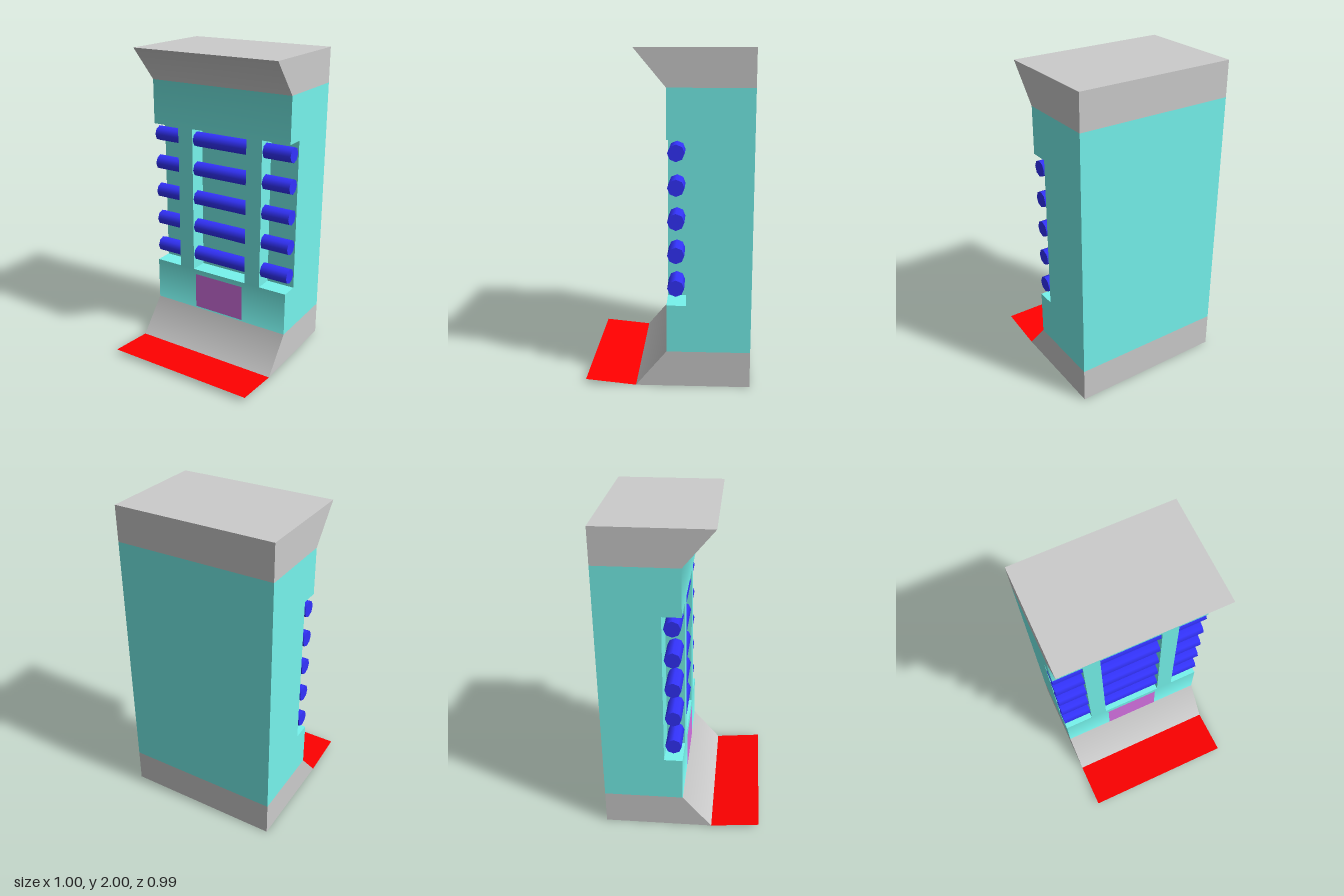
import * as THREE from 'three';

const BACK = -0.495, FACE = 0.005, LIP = 0.19, NICHE = -0.11;
const LOW = 0.22, HIGH = 1.78, SILL = 0.51, LINTEL = 1.49;

const paint = (color, side = THREE.FrontSide) => new THREE.MeshStandardMaterial({ color, side });

// Extrudes a [z, y] side profile across the full width (x -0.5..0.5)
function sideExtrude(points) {
  const shape = new THREE.Shape(points.map(([z, y]) => new THREE.Vector2(z, y)));
  const geo = new THREE.ExtrudeGeometry(shape, { depth: 1, bevelEnabled: false });
  geo.rotateY(-Math.PI / 2).translate(0.5, 0, 0);
  // Soften the crease where the facade flares into base and crown
  const pos = geo.attributes.position, nor = geo.attributes.normal;
  for (let i = 0; i < pos.count; i++) {
    const y = pos.getY(i);
    if (nor.getZ(i) < 0.5 || Math.abs(pos.getZ(i) - FACE) > 1e-3) continue;
    if (Math.abs(y - LOW) < 1e-3) nor.setXYZ(i, 0, 0.34, 0.94);
    if (Math.abs(y - HIGH) < 1e-3) nor.setXYZ(i, 0, -0.34, 0.94);
  }
  return geo;
}

export function createModel() {
  const group = new THREE.Group();
  const grey = paint(0xcccccc), teal = paint(0x76f4ed), blue = paint(0x3333ff);
  const add = (name, geo, material, x = 0, y = 0, z = 0) => {
    const mesh = new THREE.Mesh(geo, material);
    mesh.name = name;
    mesh.position.set(x, y, z);
    group.add(mesh);
    return mesh;
  };

  // Flared base and crown
  add('base', sideExtrude([[BACK, 0], [LIP, 0], [FACE, LOW], [BACK, LOW]]), grey);
  add('crown', sideExtrude([[BACK, HIGH], [FACE, HIGH], [LIP, 2], [BACK, 2]]), grey);

  // Tower body with a recess across the facade
  add('body', sideExtrude([
    [BACK, LOW], [FACE, LOW], [FACE, SILL], [NICHE, SILL],
    [NICHE, LINTEL], [FACE, LINTEL], [FACE, HIGH], [BACK, HIGH],
  ]), teal);

  // Two pillars split the recess into three bays
  const pillar = new THREE.BoxGeometry(0.11, LINTEL - SILL, FACE - NICHE);
  for (const side of [-1, 1]) {
    add(side > 0 ? 'leftPillar' : 'rightPillar', pillar, teal,
      side * 0.255, (SILL + LINTEL) / 2, (FACE + NICHE) / 2);
  }

  // Horizontal rods, one per storey, passing through the pillars
  const rod = new THREE.CylinderGeometry(0.05, 0.05, 1, 8).rotateZ(Math.PI / 2);
  for (let i = 0; i < 5; i++) add('rod' + (i + 1), rod, blue, 0, 0.615 + i * 0.2, -0.05);

  // Door panel
  add('door', new THREE.PlaneGeometry(0.365, 0.245), paint(0xd873e6, THREE.DoubleSide), 0, 0.355, FACE + 0.004);

  // Thin entrance mat, its front edge slightly raised
  const run = 0.495 - LIP, rise = 0.03;
  const mat = new THREE.PlaneGeometry(1, Math.hypot(run, rise));
  mat.rotateX(-Math.PI / 2 - Math.atan2(rise, run));
  add('entranceMat', mat, paint(0xff0000, THREE.DoubleSide), 0, rise / 2, LIP + run / 2);

  return group;
}
